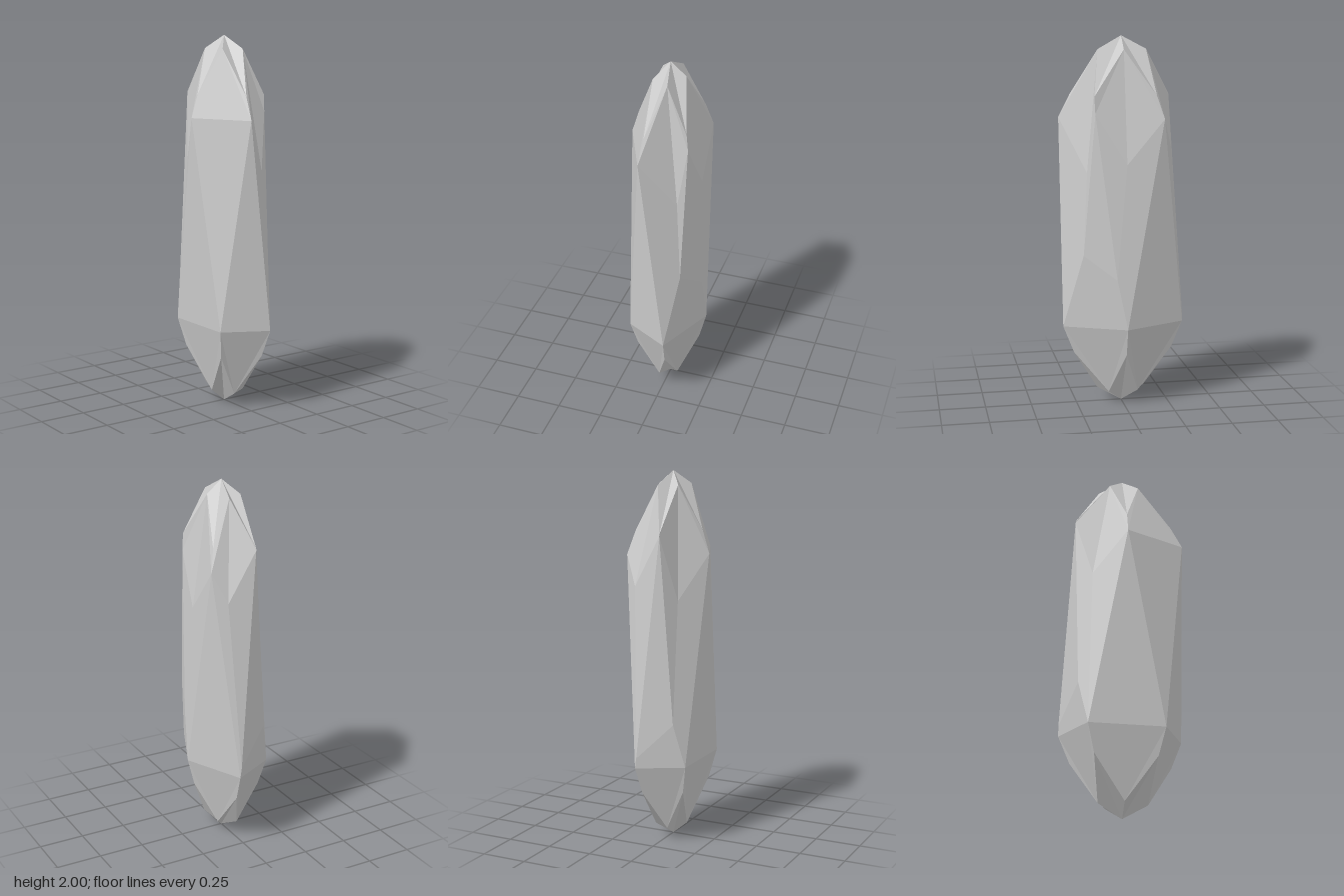
import * as THREE from 'three';

const v = (x, y, z) => new THREE.Vector3(x, y, z);

// Five points on an elliptical ring; turn is the starting angle in degrees
function ring(radius, y, turn) {
  return Array.from({ length: 5 }, (_, i) => {
    const a = THREE.MathUtils.degToRad(turn + i * 72);
    return v(Math.cos(a) * radius, y, Math.sin(a) * radius * 1.645);
  });
}

// Chop a corner off: each edge from a neighbour to the corner stops at fraction t.
// cuts lists [neighbour, t] in outward order, which also gives the new facet.
function chop(faces, corner, cuts) {
  const points = new Map(cuts.map(([n, t]) => [n, n.clone().lerp(corner, t)]));
  const result = faces.map((face) => face.flatMap((p, i) => {
    if (p !== corner) return [p];
    const before = face[(i + face.length - 1) % face.length];
    const after = face[(i + 1) % face.length];
    return [points.get(before), points.get(after)];
  }));
  result.push([...points.values()]);
  return result;
}

export function createModel() {
  const top = v(0, 2, 0), bottom = v(0, 0, 0);
  const crown = ring(0.083, 1.93, 0);
  const upper = ring(0.172, 1.69, 36);
  const shoulder = ring(0.21, 1.57, 36);
  const hip = ring(0.21, 0.45, 0);
  const lower = ring(0.172, 0.3, 0);
  const foot = ring(0.083, 0.07, 36);

  // Two shoulder corners sit lower and are chipped away
  shoulder[0].set(0.175, 1.16, 0.143);
  shoulder[3].set(-0.03, 1.13, -0.34);

  let faces = [];
  for (let i = 0; i < 5; i++) {
    const n = (i + 1) % 5, p = (i + 4) % 5;
    faces.push(
      // Top kite and the facet below it
      [top, crown[n], upper[i], crown[i]],
      [crown[i], upper[i], shoulder[i], shoulder[p], upper[p]],
      // Long belt triangles
      [hip[i], shoulder[p], shoulder[i]],
      [shoulder[i], hip[n], hip[i]],
      // Bottom facet and kite
      [foot[i], lower[i], hip[i], hip[n], lower[n]],
      [bottom, foot[p], lower[i], foot[i]],
    );
  }

  // Front chip and back chip
  faces = chop(faces, shoulder[0], [
    [upper[0], 0.17], [shoulder[1], 0.69], [hip[1], 0.56], [hip[0], 0.38], [shoulder[4], 0.58],
  ]);
  faces = chop(faces, shoulder[3], [
    [upper[3], 0.02], [shoulder[4], 0.36], [hip[4], 0.08], [hip[3], 0.35], [shoulder[2], 0.53],
  ]);

  // Fan every facet into triangles
  const triangles = faces.flatMap((f) =>
    f.slice(2).flatMap((p, i) => [f[0], f[i + 1], p]));
  const geometry = new THREE.BufferGeometry().setFromPoints(triangles);
  geometry.computeVertexNormals();

  const crystal = new THREE.Mesh(
    geometry,
    new THREE.MeshStandardMaterial({ color: 0xcccccc, flatShading: true }),
  );
  crystal.name = 'crystal';

  const group = new THREE.Group();
  group.name = 'crystalShard';
  group.add(crystal);
  return group;
}
